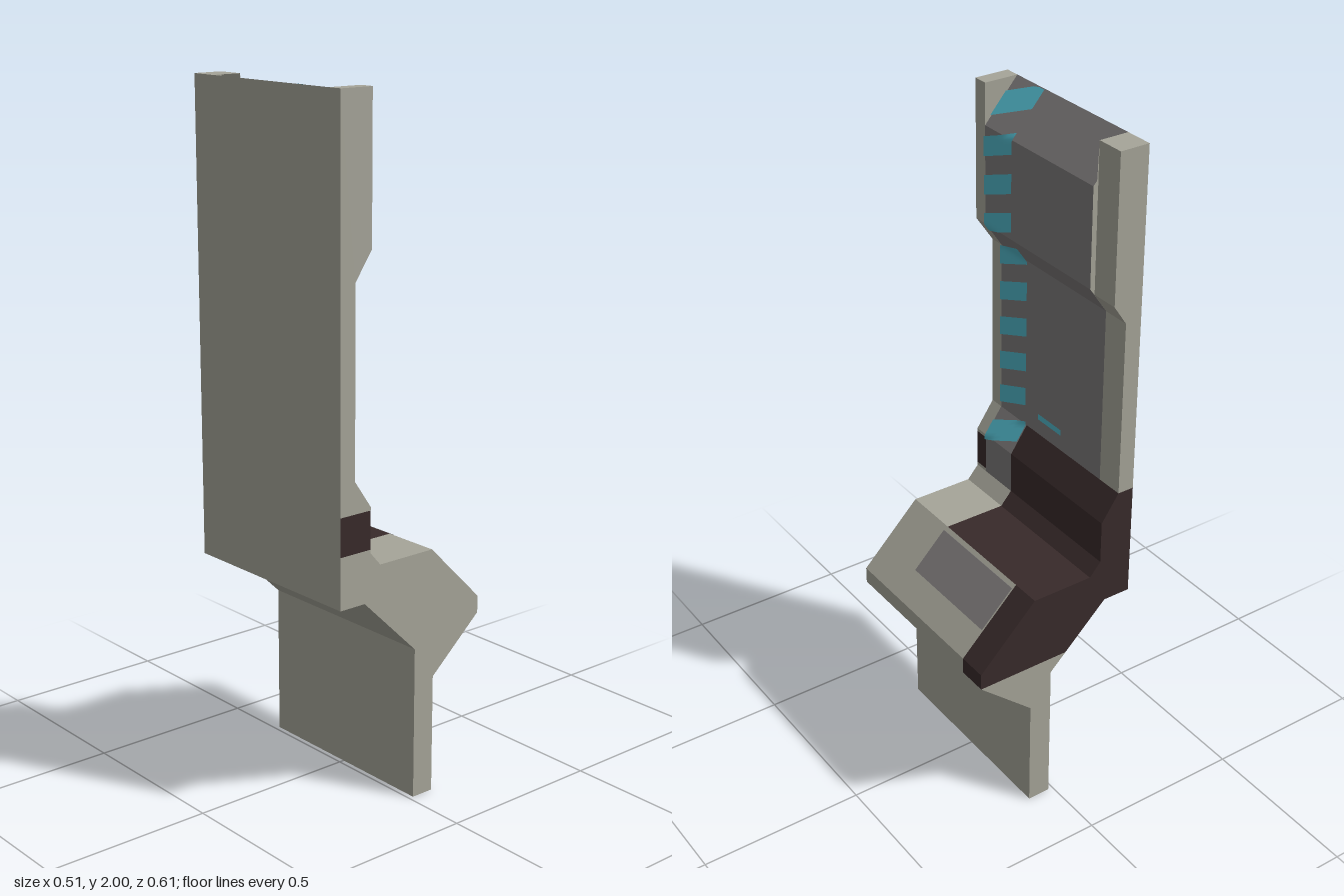
import * as THREE from 'three';

const mat = (name, color) => {
  const m = new THREE.MeshStandardMaterial({ color, side: THREE.DoubleSide });
  m.name = name;
  return m;
};

export function createModel() {
  const model = new THREE.Group();
  model.name = 'wallPanel';
  const body = mat('paleGrey', 0xa6a599);
  const grey = mat('midGrey', 0x7b7878);
  const dark = mat('darkBrown', 0x382a2a);
  const teal = mat('teal', 0x50b4c6);

  const add = (name, geometry, material) => {
    const mesh = new THREE.Mesh(geometry, material);
    mesh.name = name;
    model.add(mesh);
    return mesh;
  };

  // Sweeps an open [x, y] profile, listed clockwise, from z0 to z1
  const ribbon = (name, pts, z0, z1, material) => {
    const pos = [];
    for (let i = 0; i < pts.length - 1; i++) {
      const [ax, ay] = pts[i], [bx, by] = pts[i + 1];
      pos.push(ax, ay, z0, ax, ay, z1, bx, by, z1, ax, ay, z0, bx, by, z1, bx, by, z0);
    }
    const g = new THREE.BufferGeometry();
    g.setAttribute('position', new THREE.Float32BufferAttribute(pos, 3));
    g.computeVertexNormals();
    return add(name, g, material);
  };

  // Flat [x, y] polygon at depth z, facing +z or -z
  const cap = (name, pts, z, facing, material) => {
    const g = new THREE.ShapeGeometry(new THREE.Shape(pts.map(p => new THREE.Vector2(...p))));
    if (facing < 0) {
      g.index.array.reverse();
      g.computeVertexNormals();
    }
    g.translate(0, 0, z);
    return add(name, g, material);
  };

  const zB = -0.305, zF = 0.305, zIn = -0.22, zOut = 0.26, zMid = 0.13;
  const waist = [[-0.205, 1.51], [-0.205, 0.98]];
  const wall = [[-0.205, 0.98], [-0.15, 0.9], [-0.15, 0.77]];
  const seat = [[-0.15, 0.77], [-0.115, 0.73], [0.075, 0.73]];
  const slope = [[0.075, 0.73], [0.255, 0.55], [0.255, 0.5]];
  const under = [[0.255, 0.5], [0.085, 0.35], [0.085, 0], [0.015, 0], [0.015, 0.45],
    [-0.17, 0.63], [-0.255, 0.63], [-0.255, 2]];
  const panel = [[-0.255, 2], [-0.15, 1.88], [-0.15, 1.59], ...waist];
  const frontFrame = [[-0.255, 2], [-0.15, 2], [-0.15, 1.59], ...waist];
  const backFrame = [[-0.255, 2], [-0.165, 2], [-0.165, 1.57], ...waist];

  // Upper wall: inset panel between two frames
  ribbon('insetPanel', panel, zIn, zOut, grey);
  ribbon('frontFrame', frontFrame, zOut, zF, body);
  ribbon('backFrame', backFrame, zB, zIn, body);
  cap('frontFrameInside', [[-0.255, 2], [-0.15, 1.88], [-0.15, 2]], zOut, -1, body);
  cap('backFrameInside', [[-0.255, 2], [-0.165, 2], [-0.165, 1.57], [-0.15, 1.59], [-0.15, 1.88]], zIn, 1, body);

  // Lower wall and ledge
  ribbon('darkWall', wall, zB, zMid, dark);
  ribbon('greyWall', wall, zMid, zOut, grey);
  ribbon('frontFrameFoot', [[-0.205, 0.98], [-0.15, 0.9], [-0.15, 0.89]], zOut, zF, body);
  ribbon('frontBandSide', [[-0.15, 0.89], [-0.15, 0.78]], zOut, zF, dark);
  ribbon('frontFrameHeel', [[-0.15, 0.78], [-0.15, 0.77]], zOut, zF, body);
  ribbon('darkLedge', seat, zB, zMid, dark);
  ribbon('paleLedge', seat, zMid, zF, body);

  // Sloping nose, underside, base and back
  ribbon('darkNose', slope, zB, -0.215, dark);
  ribbon('paleNose', slope, -0.215, zF, body);
  ribbon('undersideAndBack', under, zB, zF, body);

  // Grey plate on the nose
  const e = 0.004;
  ribbon('nosePlate', [[0.085, 0.72], [0.085 + e, 0.72 + e], [0.187 + e, 0.618 + e], [0.187, 0.618]],
    -0.215, zMid, grey);

  // Front end
  cap('frontEndTop', [[-0.255, 0.89], [-0.15, 0.89], [-0.15, 0.9], [-0.205, 0.98], [-0.205, 1.51],
    [-0.15, 1.59], [-0.15, 2], [-0.255, 2]], zF, 1, body);
  cap('frontBand', [[-0.255, 0.78], [-0.15, 0.78], [-0.15, 0.89], [-0.255, 0.89]], zF, 1, dark);
  cap('frontEndBottom', [[-0.255, 0.78], [-0.15, 0.78], ...seat, ...slope.slice(1),
    ...under.slice(1, 7)], zF, 1, body);

  // Back end
  cap('backEndTop', [...backFrame, [-0.255, 0.98]], zB, -1, body);
  cap('backEndMiddle', [[-0.255, 0.98], ...wall, ...seat.slice(1), ...slope.slice(1),
    [-0.036, 0.5], [-0.17, 0.63], [-0.255, 0.63]], zB, -1, dark);
  cap('backEndBottom', [[-0.036, 0.5], ...under.slice(0, 5)], zB, -1, body);

  // Slanted stripes that follow the panel surface
  const line = [...panel, ...wall.slice(1)];
  const surfaceX = y => {
    for (let i = 0; i < line.length - 1; i++) {
      const [ax, ay] = line[i], [bx, by] = line[i + 1];
      if (y <= ay && y >= by) return ax + (bx - ax) * (ay - y) / (ay - by);
    }
    return -0.15;
  };
  for (let k = 0; k < 10; k++) {
    const g = new THREE.PlaneGeometry(1, 1, 6, 8);
    const p = g.attributes.position;
    for (let i = 0; i < p.count; i++) {
      const u = 0.5 - p.getX(i), v = 0.5 - p.getY(i);
      const y = Math.min(2, 2.013 - 0.1132 * k - 0.05 * u - 0.058 * v);
      p.setXYZ(i, surfaceX(y) + 0.005, y, zMid + (zOut - zMid) * u);
    }
    g.computeVertexNormals();
    add('stripe', g, teal);
  }

  // Small marker low on the panel
  ribbon('marker', [[-0.201, 1.05], [-0.201, 1.032]], -0.04, 0.07, teal);

  return model;
}
